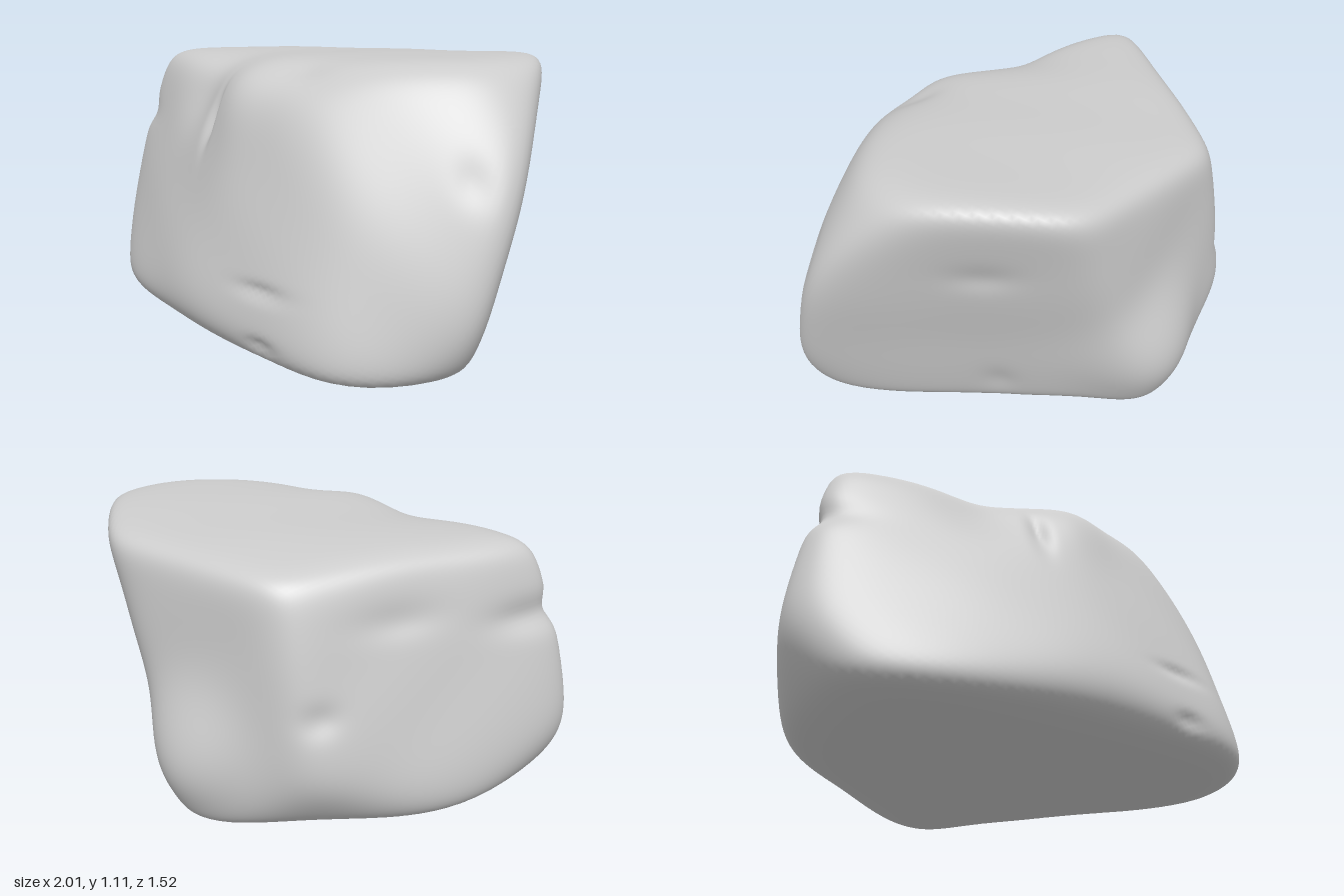
import * as THREE from 'three';
import { mergeVertices } from 'three/addons/utils/BufferGeometryUtils.js';

const CENTRE = new THREE.Vector3(0, 0.52, 0);
const SHARPNESS = 16; // higher gives crisper edges between the facets

// Facets of the rock: [outward normal], [a point on the facet]
const FACETS = [
  [[-0.035, 1, 0], [0, 1.08, 0]], // top
  [[-0.1, 1, -0.22], [0, 1.06, -0.5]], // top, back slope
  [[0, 1, 0.55], [0.1, 1.05, 0.42]], // top, front slope
  [[-0.02, -1, 0.04], [0.2, 0.0, -0.3]], // underside
  [[0, -0.6, 0.8], [0, 0.09, 0.74]], // underside, front bevel
  [[-0.5, -0.6, -0.6], [-0.47, 0.1, -0.52]], // underside, back left bevel
  [[0.16, 0.27, 1], [0, 0.48, 0.71]], // front
  [[-0.24, 0.33, 1], [-0.5, 0.15, 0.7]], // front, left half
  [[-0.55, 0.1, 0.85], [-0.79, 0.3, 0.61]], // front left corner
  [[0.68, 0.2, 0.68], [0.65, 0.25, 0.65]], // front right corner, lower part
  [[0.56, 0.53, 0.66], [0.61, 0.62, 0.6]], // front right corner, upper part
  [[0.68, -0.24, -0.68], [0.63, 0.85, -0.4]], // overhanging back right corner
  [[-0.86, 0.2, -0.5], [-0.76, 0.4, -0.2]], // back left
  [[-0.08, 0.03, -1], [0, 0.7, -0.665]], // back
  [[-0.75, -0.57, 0], [-0.99, 0.21, 0.3]], // undercut left side
  [[-1, 0.2, 0.3], [-1.06, 0.45, 0.35]], // blunt left tip
  [[1, 0.02, 0.1], [1.15, 0.5, 0.12]], // blunt right tip
  [[0.8, 0.6, 0], [0.91, 0.95, -0.1]], // right tip, upper bevel
  [[0.8, -0.6, 0.1], [0.97, 0.12, 0.3]], // right tip, lower bevel
].map(([n, p]) => {
  const normal = new THREE.Vector3(...n).normalize();
  const distance = normal.dot(new THREE.Vector3(...p).sub(CENTRE));
  return normal.divideScalar(distance);
});

// Chips and hollows: [centre], [radii], depth (negative raises)
const DENTS = [
  [[-0.32, 0.95, 0.45], [0.18, 0.17, 0.25], 0.045], // beside the front step
  [[-0.13, 0.84, 0.5], [0.035, 0.1, 0.15], 0.03], // front step
  [[0.05, 0.92, 0.5], [0.13, 0.2, 0.2], -0.03],
  [[0.38, 0.31, 0.68], [0.11, 0.025, 0.2], 0.02], // front slots
  [[0.4, 0.12, 0.68], [0.07, 0.025, 0.2], 0.02],
  [[0.25, 1.0, 0.38], [0.1, 0.1, 0.06], 0.015], // top edge chip
  [[0.87, 0.7, 0.18], [0.08, 0.08, 0.05], 0.02], // right side chips
  [[0.6, 0.77, -0.38], [0.12, 0.06, 0.12], 0.015],
  [[0.45, 0.15, -0.3], [0.08, 0.08, 0.06], 0.012],
  [[-0.9, 0.77, 0.25], [0.15, 0.06, 0.18], 0.04], // left ledge
  [[-0.64, 0.82, -0.25], [0.14, 0.06, 0.18], 0.015],
  [[-0.5, 0.5, -0.52], [0.06, 0.06, 0.08], 0.025], // back left pit
  [[-0.02, 0.27, -0.66], [0.22, 0.22, 0.25], -0.1], // swelling low on the back
];

// Distance from the centre to the rounded surface along a direction
function radius(dir) {
  let sum = 0;
  for (const f of FACETS) sum += Math.max(0, f.dot(dir)) ** SHARPNESS;
  const r = sum ** (-1 / SHARPNESS);
  const p = dir.clone().multiplyScalar(r).add(CENTRE);
  let cut = 0;
  for (const [c, s, depth] of DENTS) {
    const q = ((p.x - c[0]) / s[0]) ** 2 + ((p.y - c[1]) / s[1]) ** 2 + ((p.z - c[2]) / s[2]) ** 2;
    cut += depth * Math.exp(-q);
  }
  // faint unevenness
  cut += 0.003 * Math.sin(p.x * 9 + p.y * 5) * Math.sin(p.z * 8 - p.y * 7);
  return r - cut;
}

export function createModel() {
  let geometry = new THREE.IcosahedronGeometry(1, 50);
  geometry.deleteAttribute('normal');
  geometry.deleteAttribute('uv');
  geometry = mergeVertices(geometry, 1e-5);

  const pos = geometry.attributes.position;
  const v = new THREE.Vector3();
  for (let i = 0; i < pos.count; i++) {
    v.fromBufferAttribute(pos, i).normalize();
    v.multiplyScalar(radius(v)).add(CENTRE);
    pos.setXYZ(i, v.x, v.y, v.z);
  }
  geometry.computeVertexNormals();

  const boulder = new THREE.Mesh(geometry, new THREE.MeshStandardMaterial({ color: 0xcccccc }));
  boulder.name = 'boulder';
  const group = new THREE.Group();
  group.name = 'rock';
  group.add(boulder);
  return group;
}
